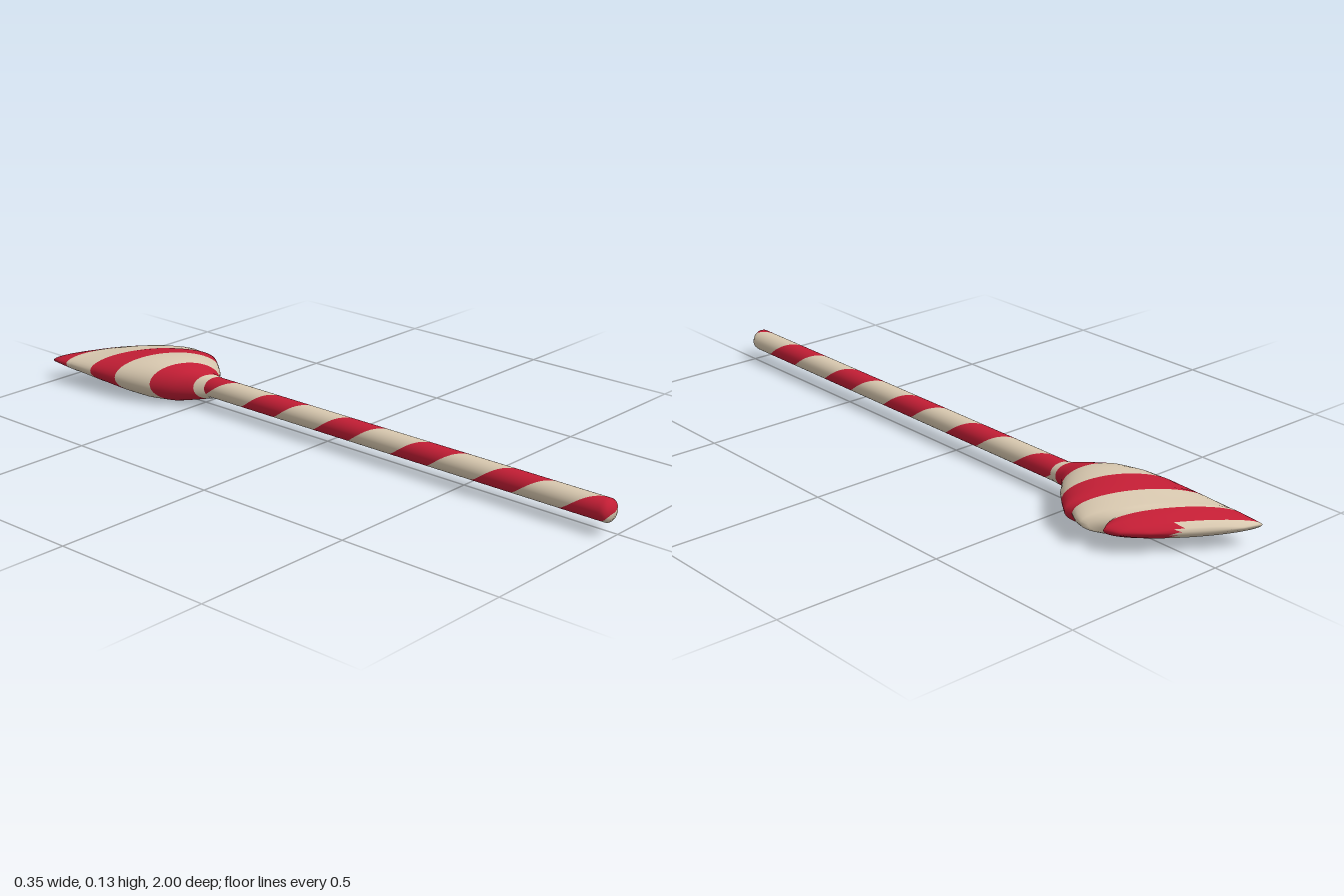
import * as THREE from 'three';
import { mergeVertices } from 'three/addons/utils/BufferGeometryUtils.js';

const red = new THREE.MeshStandardMaterial({ color: 0xc41e35, name: 'candy red' });
const cream = new THREE.MeshStandardMaterial({ color: 0xd9c9b0, name: 'cream' });
const CX = -0.018, CY = 0.067, TAU = Math.PI * 2;

// Skin a list of rings (running towards -z); isRed(row, column) picks the colour
function loft(rings, isRed) {
  const n = rings[0].length, reds = [], creams = [];
  for (let i = 0; i < rings.length - 1; i++) {
    for (let j = 0; j < n - 1; j++) {
      const a = i * n + j, b = a + 1, c = a + n, d = c + 1;
      (isRed(i, j) ? reds : creams).push(a, c, b, b, c, d);
    }
  }
  let geo = new THREE.BufferGeometry().setFromPoints(rings.flat());
  geo.setIndex([...reds, ...creams]);
  geo = mergeVertices(geo, 1e-5);
  geo.clearGroups();
  geo.addGroup(0, reds.length, 0);
  geo.addGroup(reds.length, creams.length, 1);
  geo.computeVertexNormals();
  return new THREE.Mesh(geo, [red, cream]);
}

// Round stick with a domed end; the rings are twisted so edges follow the spiral
function makeHandle() {
  const period = 0.288, steps = 24, sides = 32, radius = 0.033;
  const rings = [], first = 44, last = -110;
  for (let m = first; m >= last; m--) {
    const ring = [];
    for (let j = 0; j <= sides; j++) {
      const a = (j / sides) * TAU;
      const along = 0.738 + (0.25 - j / sides + m / steps) * period;
      const s = THREE.MathUtils.clamp(along, -0.48, 1.015);
      const t = Math.max(0, (s - 0.98) / 0.035) * Math.PI / 2;
      const r = radius * Math.cos(t);
      const z = t > 0 ? 0.98 + 0.02 * Math.sin(t) : s;
      ring.push(new THREE.Vector3(CX + r * Math.cos(a), CY + r * Math.sin(a), z));
    }
    rings.push(ring);
  }
  const mesh = loft(rings, i => THREE.MathUtils.euclideanModulo(first - i + 5, steps) < 11);
  mesh.name = 'handle';
  return mesh;
}

// Flattened bristle head, sliced obliquely so each slice runs along a stripe
function makeHead() {
  const slope = 0.64, sides = 48;
  // slice offset, x of right edge, x of left edge, half thickness
  const slices = [
    [-0.42, -0.052, 0.016, 0.034], [-0.44, -0.068, 0.016, 0.038],
    [-0.47, -0.10, 0.02, 0.047], [-0.517, -0.135, 0.047, 0.06],
    [-0.57, -0.153, 0.082, 0.067], [-0.625, -0.163, 0.112, 0.066],
    [-0.675, -0.167, 0.138, 0.062], [-0.709, -0.169, 0.155, 0.058],
    [-0.713, -0.169, 0.142, 0.058], [-0.725, -0.17, 0.147, 0.056],
    [-0.765, -0.172, 0.165, 0.051], [-0.8, -0.173, 0.174, 0.046],
    [-0.812, -0.173, 0.164, 0.045], [-0.815, -0.173, 0.118, 0.043],
    [-0.83, -0.174, 0.135, 0.041], [-0.86, -0.175, 0.16, 0.033],
    [-0.888, -0.175, 0.14, 0.023], [-0.904, -0.125, 0.085, 0.01],
    [-0.907, -0.09, 0.05, 0],
  ];
  const rings = slices.map(([c, x0, x1, h]) => {
    const ring = [];
    for (let j = 0; j <= sides; j++) {
      const a = (j / sides) * TAU;
      const x = (x0 + x1) / 2 + (x1 - x0) / 2 * Math.cos(a);
      ring.push(new THREE.Vector3(x, CY + h * Math.sin(a), slope * x + c));
    }
    return ring;
  });
  const mesh = loft(rings, (i, j) => {
    const c = (slices[i][0] + slices[i + 1][0]) / 2;
    if (c < -0.888) return rings[i][j].x > 0.04; // brush end
    return (c < -0.44 && c > -0.517) || (c < -0.625 && c > -0.725) || c < -0.83;
  });
  mesh.name = 'bristleHead';
  return mesh;
}

export function createModel() {
  const group = new THREE.Group();
  group.name = 'stripedBroom';
  group.add(makeHandle(), makeHead());
  return group;
}
